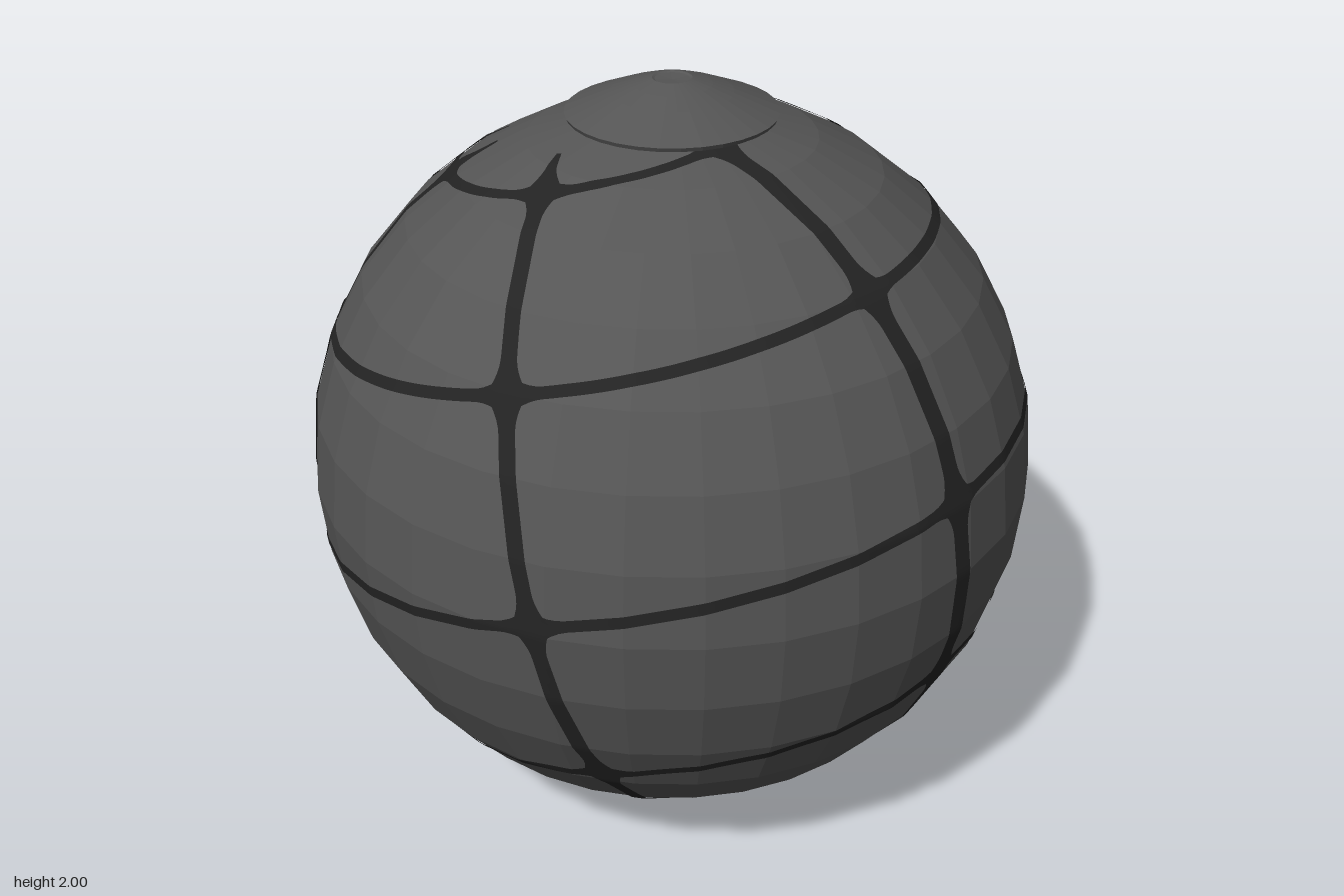
import * as THREE from 'three';
import { mergeGeometries } from 'three/addons/utils/BufferGeometryUtils.js';

const R = 0.962, CY = 0.964, COLS = 32, ROWS = 16;
const STEP = (Math.PI * 2) / COLS;
const rad = THREE.MathUtils.degToRad;

const faceted = (g) => {
  const f = g.index ? g.toNonIndexed() : g;
  f.computeVertexNormals();
  return f;
};

// Unit direction from latitude and longitude (longitude 0 = front, 90 = +x)
const dir = (lat, lon) => new THREE.Vector3(
  Math.cos(lat) * Math.sin(lon), Math.sin(lat), Math.cos(lat) * Math.cos(lon));

// Point on the faceted ball along a direction, lifted slightly
function onBall(d, lift) {
  const i = Math.floor(Math.asin(THREE.MathUtils.clamp(d.y, -1, 1)) / STEP);
  const j = Math.floor(Math.atan2(d.x, d.z) / STEP);
  const low = i < 0 ? i + 1 : i, high = i < 0 ? i : i + 1;
  const plane = new THREE.Plane().setFromCoplanarPoints(
    dir(low * STEP, j * STEP), dir(low * STEP, (j + 1) * STEP), dir(high * STEP, (j + 0.5) * STEP));
  // the middle of the far edge lies on a chord, so use the real facet normal
  const n = dir((i + 0.5) * STEP, (j + 0.5) * STEP);
  const a = dir(low * STEP, j * STEP), b = dir(high * STEP, j * STEP);
  const across = dir(low * STEP, (j + 1) * STEP).sub(a);
  plane.normal.copy(across.cross(b.sub(a))).normalize();
  if (plane.normal.dot(n) < 0) plane.normal.negate();
  const r = R * plane.normal.dot(a) / plane.normal.dot(d);
  return d.clone().multiplyScalar(Math.min(r, R) + lift);
}

// The net is a tilted grid of six cords and five rings
const TILT = new THREE.Quaternion().setFromUnitVectors(
  new THREE.Vector3(0, 1, 0), new THREE.Vector3(-0.108, 0.977, -0.184).normalize());
const RING_LATS = [-66, -32, 1, 34, 65.5].map(rad);
const CORD_LONS = [8.8, 76, 143, 209, 236.5, 302].map(rad);
const CORD_WIDTHS = [0.026, 0.026, 0.024, 0.02, 0.02, 0.021];

// Extra width where cords and rings cross
const flare = (d) => 0.034 * Math.max(0, 1 - d / 0.09) ** 2;

// Thin strip laid on the ball; at(t, s) gives [lat, lon], s runs -1..1 across
function strip(at, length, lift) {
  const across = 4, pos = [], index = [];
  for (let k = 0; k <= length; k++) {
    for (let m = 0; m <= across; m++) {
      const [lat, lon] = at(k / length, (m / across) * 2 - 1);
      pos.push(...onBall(dir(lat, lon).applyQuaternion(TILT), lift).toArray());
      if (k < length && m < across) {
        const a = k * (across + 1) + m, b = a + across + 1;
        index.push(a, a + 1, b, b, a + 1, b + 1);
      }
    }
  }
  const g = new THREE.BufferGeometry();
  g.setAttribute('position', new THREE.Float32BufferAttribute(pos, 3));
  g.setIndex(index);
  g.computeVertexNormals();
  return g;
}

function cord(lon, half) {
  const end = rad(74);
  return strip((t, s) => {
    const lat = -end + 2 * end * t;
    const near = Math.min(...RING_LATS.map((l) => Math.abs(l - lat) * R));
    const taper = Math.min(1, 0.3 + (end - Math.abs(lat)) / 0.16);
    const w = half * taper + flare(near);
    return [lat, lon + (s * w) / (R * Math.cos(lat))];
  }, 160, 0.0035);
}

function ring(lat, half) {
  return strip((t, s) => {
    const lon = t * Math.PI * 2;
    const near = Math.min(...CORD_LONS.map((l) =>
      Math.abs(Math.atan2(Math.sin(l - lon), Math.cos(l - lon))) * R * Math.cos(lat)));
    return [lat + (s * (half + flare(near))) / R, lon];
  }, 300, 0.003);
}

export function createModel() {
  const group = new THREE.Group();
  const shell = new THREE.MeshStandardMaterial({ color: 0x555555 });
  shell.name = 'charcoal grey';
  const black = new THREE.MeshStandardMaterial({ color: 0x232323, side: THREE.DoubleSide });
  black.name = 'net black';

  const add = (name, geometry, material, y) => {
    const mesh = new THREE.Mesh(geometry, material);
    mesh.name = name;
    mesh.position.y = y;
    group.add(mesh);
  };

  // Faceted ball
  add('ball', faceted(new THREE.SphereGeometry(R, COLS, ROWS)), shell, CY);

  // Net cords and rings
  add('netCords', mergeGeometries(CORD_LONS.map((l, i) => cord(l, CORD_WIDTHS[i]))), black, CY);
  add('netRings', mergeGeometries(RING_LATS.map((l) => ring(l, 0.015))), black, CY);

  // Shallow cap with a rim and a small dimple on top
  const profile = [[0, 1.89], [0.2, 1.9], [0.265, 1.906], [0.27, 1.917], [0.155, 1.965],
    [0.1, 1.985], [0.05, 2], [0.044, 1.997], [0, 1.994]].map(([x, y]) => new THREE.Vector2(x, y));
  add('cap', faceted(new THREE.LatheGeometry(profile, 32)), shell, 0);

  return group;
}
